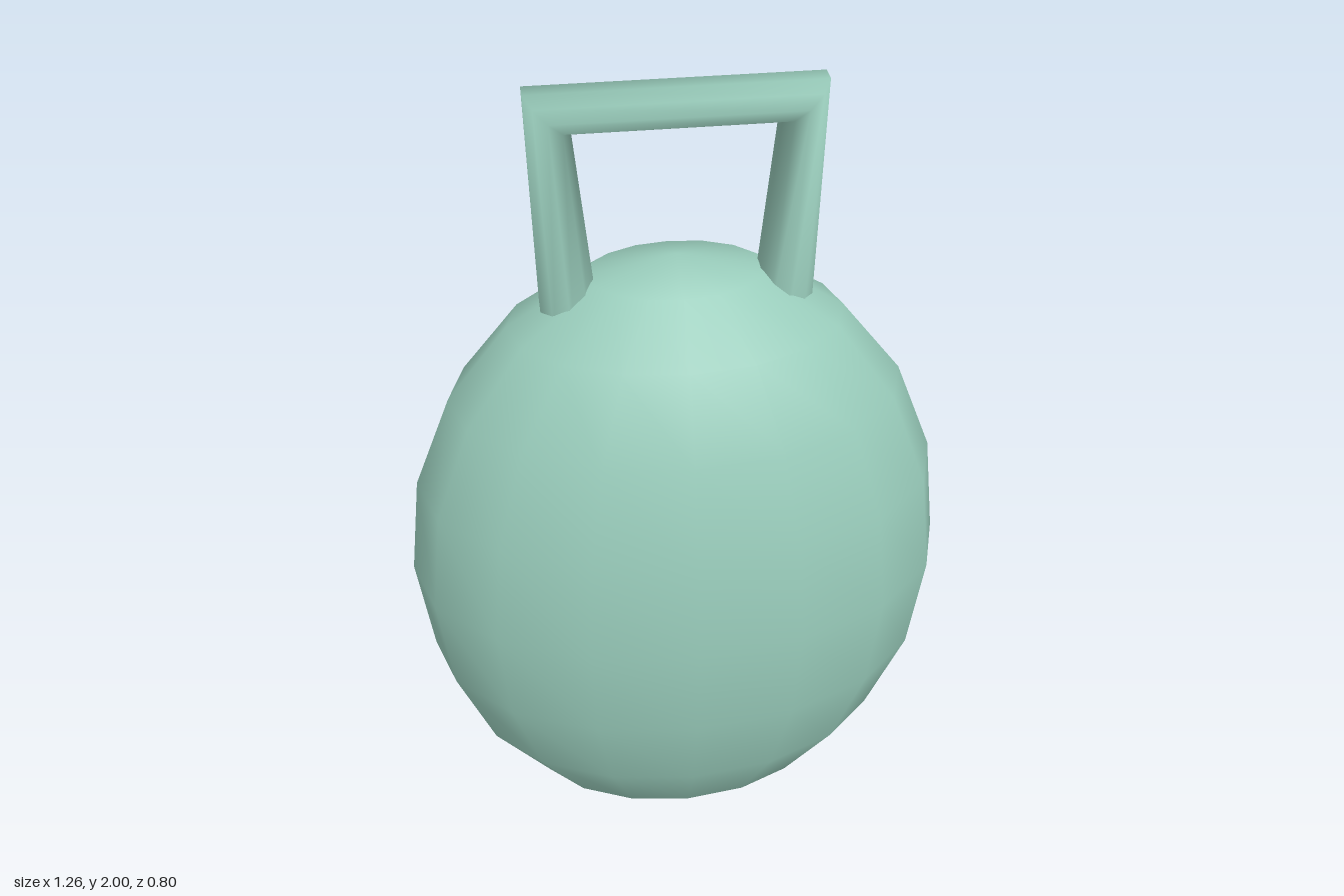
import * as THREE from 'three';

// Straight-edged path whose only rings sit at its corners, giving mitred joints
class CornerPath extends THREE.Curve {
  constructor(points) {
    super();
    this.points = points;
  }
  getPoint(t, target = new THREE.Vector3()) {
    return target.copy(this.points[Math.round(t * (this.points.length - 1))]);
  }
  getPointAt(u, target) {
    return this.getPoint(u, target);
  }
  getTangentAt(u, target = new THREE.Vector3()) {
    const p = this.points, last = p.length - 1, i = Math.round(u * last);
    target.set(0, 0, 0);
    if (i > 0) target.add(p[i].clone().sub(p[i - 1]).normalize());
    if (i < last) target.add(p[i + 1].clone().sub(p[i]).normalize());
    return target.normalize();
  }
}

export function createModel() {
  const group = new THREE.Group();
  const material = new THREE.MeshStandardMaterial({ color: 0x99ccbb, side: THREE.DoubleSide });

  // Flattened egg-shaped body
  const bodyGeometry = new THREE.SphereGeometry(1, 16, 10);
  bodyGeometry.scale(0.63, 0.806, 0.4);
  bodyGeometry.translate(0, 0.806, 0);
  const body = new THREE.Mesh(bodyGeometry, material);
  body.name = 'body';
  group.add(body);

  // Carrying handle: two slightly splayed legs joined by a bar, ends sunk in the body
  const path = new CornerPath([
    [-0.228, 1.41], [-0.26, 1.954], [0.26, 1.954], [0.228, 1.41],
  ].map(([x, y]) => new THREE.Vector3(x, y, 0)));
  const handle = new THREE.Mesh(new THREE.TubeGeometry(path, 3, 0.068, 10, false), material);
  handle.name = 'handle';
  group.add(handle);

  return group;
}
